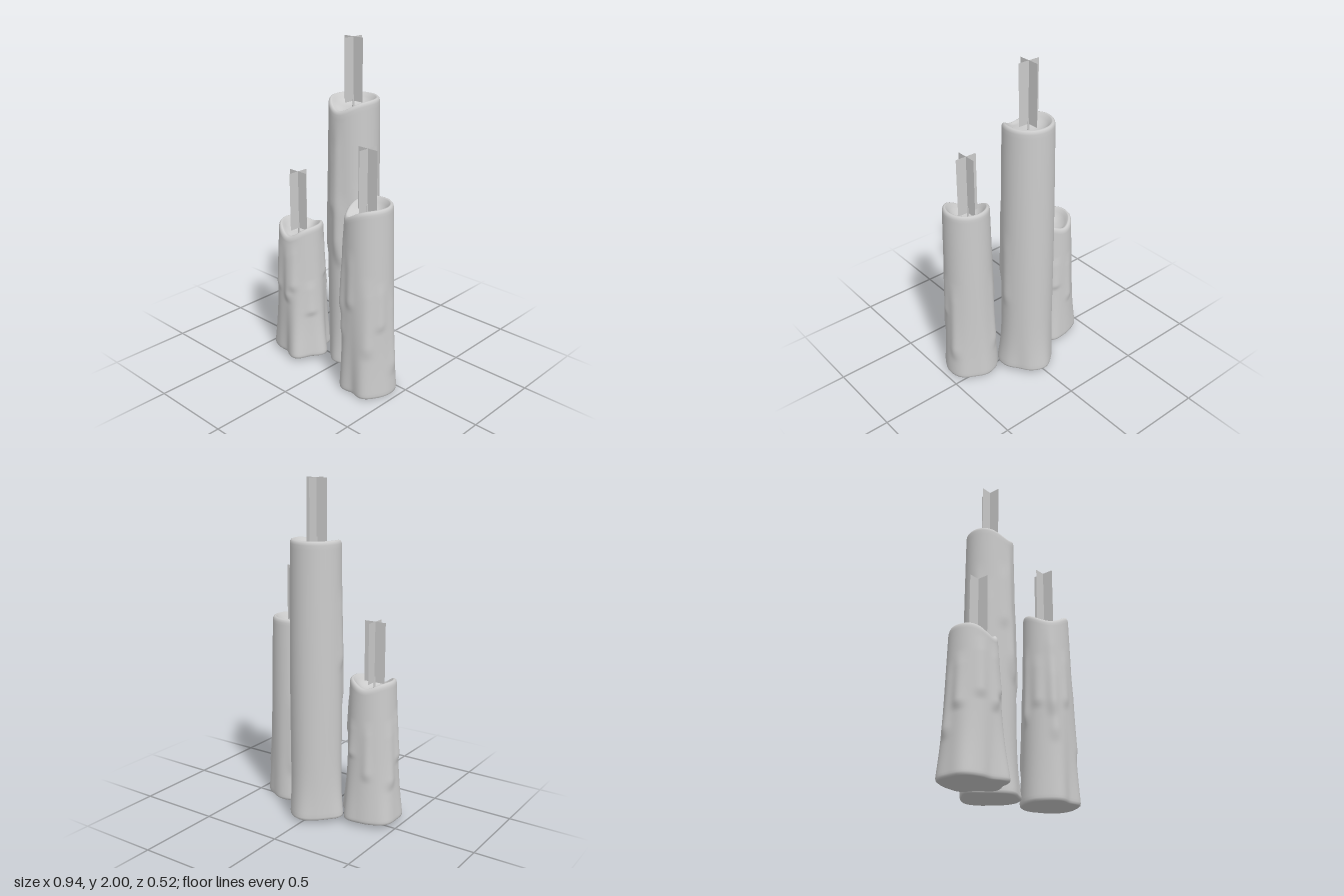
import * as THREE from 'three';

const wax = new THREE.MeshStandardMaterial({ color: 0xcccccc });
const sheet = new THREE.MeshStandardMaterial({ color: 0xcccccc, side: THREE.DoubleSide });
const SEGMENTS = 96;
const RAD = Math.PI / 180;

// Small seeded generator, 0 to 1
function seeded(seed) {
  return () => (seed = (seed * 16807) % 2147483647) / 2147483647;
}

// Bell-shaped weight around an angle, in degrees from +x towards +z
function bell(angle, centre, width) {
  const d = ((angle - centre + 540) % 360 + 360) % 360 - 180;
  return Math.exp(-((d / width) ** 2));
}

// Smooth closed interpolation of the foot radii
function footRadius(foot, angle) {
  const n = foot.length, f = (angle / 360) * n, i = Math.floor(f), t = f - i;
  const [a, b, c, d] = [-1, 0, 1, 2].map(k => foot[(i + k + n) % n]);
  return b + 0.5 * t * (c - a + t * (2 * a - 5 * b + 4 * c - d + t * (3 * (b - c) + d - a)));
}

// One run of wax from the main notch, the rest spread around the wall
function makeDrips(c) {
  const rand = seeded(c.seed), height = c.top - c.base;
  const drips = [{ angle: c.notch.angle, top: c.top - 0.1, bottom: c.base + height * 0.45, thick: 0.016, width: 11 }];
  for (let i = 0; i < c.dripCount; i++) {
    const top = c.base + height * (0.6 + 0.3 * rand());
    drips.push({
      angle: c.dripFrom + c.dripArc * (i + 0.3 + 0.4 * rand()) / c.dripCount,
      top, bottom: top - height * (0.22 + 0.25 * rand()),
      thick: 0.009 + 0.006 * rand(), width: 10 + 3 * rand(),
    });
  }
  return drips;
}

// A drip is thin at its top and swells to a bead before its lower end
function dripAt(drips, angle, y) {
  let sum = 0;
  for (const d of drips) {
    const s = (d.top - y) / (d.top - d.bottom);
    if (s <= 0 || s >= 1.1) continue;
    const swell = Math.min(1, s * 4) * (0.4 + 0.6 * s * s) * THREE.MathUtils.smoothstep(1.1 - s, 0, 0.2);
    sum += d.thick * swell * bell(angle, d.angle, d.width);
  }
  return sum;
}

// Wax body: rings from the underside up the wall, over the rim and into the bowl
function waxGeometry(c) {
  const drips = makeDrips(c);
  const rimY = a => c.top - c.notch.depth * bell(a, c.notch.angle, c.notch.width)
    - c.backDip * bell(a, c.notch.angle + 180, 35);
  const wallRadius = (a, y) => {
    const up = (y - c.base) / (c.top - c.base), foot = footRadius(c.foot, a);
    const flare = Math.exp(-(((y - c.base) / c.flareHeight) ** 1.3));
    const body = c.radius + 0.006 * Math.sin(Math.PI * up) + 0.25 * (foot - c.radius) * (1 - up);
    return THREE.MathUtils.lerp(body, foot, flare) + dripAt(drips, a, y);
  };
  const rings = [];
  // underside with a rounded edge
  for (const [k, lift] of [[0, 0], [0.6, 0], [0.94, 0], [0.985, 0.006]])
    rings.push(a => [wallRadius(a, c.base) * k, c.base + lift]);
  // outer wall
  const steps = 64;
  for (let i = 0; i <= steps; i++)
    rings.push(a => {
      const y = THREE.MathUtils.lerp(c.base + 0.018, rimY(a) - 0.022, i / steps);
      return [wallRadius(a, y), y];
    });
  // rounded rim
  for (const [inset, drop] of [[0.002, 0.01], [0.008, 0.002], [0.015, 0], [0.022, 0.004]])
    rings.push(a => [c.radius - inset, rimY(a) - drop]);
  // bowl
  for (let i = 1; i <= 10; i++) {
    const s = 1 - i / 10;
    rings.push(a => [(c.radius - 0.024) * s, THREE.MathUtils.lerp(c.floor, rimY(a) - 0.008, s ** 3)]);
  }

  const pos = [], index = [];
  for (const ring of rings)
    for (let j = 0; j < SEGMENTS; j++) {
      const a = (j / SEGMENTS) * 360, [r, y] = ring(a);
      pos.push(r * Math.cos(a * RAD), y, r * Math.sin(a * RAD));
    }
  for (let i = 0; i < rings.length - 1; i++)
    for (let j = 0; j < SEGMENTS; j++) {
      const k = (j + 1) % SEGMENTS;
      const p = i * SEGMENTS + j, q = i * SEGMENTS + k, u = p + SEGMENTS, v = q + SEGMENTS;
      if (i > 0) index.push(p, u, q);
      if (i < rings.length - 2) index.push(q, u, v);
    }
  const geometry = new THREE.BufferGeometry();
  geometry.setAttribute('position', new THREE.Float32BufferAttribute(pos, 3));
  geometry.setIndex(index);
  geometry.computeVertexNormals();
  return geometry;
}

function addMesh(group, name, geometry, material, x, y, z) {
  const mesh = new THREE.Mesh(geometry, material);
  mesh.name = name;
  mesh.position.set(x, y, z);
  group.add(mesh);
  return mesh;
}

function createCandle(c) {
  const group = new THREE.Group();
  group.name = c.name;
  addMesh(group, 'waxBody', waxGeometry(c), wax, c.x, 0, c.z);

  // wick
  const bottom = c.floor - 0.01, wickTop = c.floor + 0.07;
  const wick = new THREE.CylinderGeometry(0.005, 0.007, wickTop - bottom, 8);
  addMesh(group, 'wick', wick, wax, c.wickX, (wickTop + bottom) / 2, c.wickZ);

  // flame: two crossed upright cards
  const cardHeight = 0.36;
  for (const turn of [0, Math.PI / 2]) {
    const card = new THREE.PlaneGeometry(0.137, cardHeight);
    addMesh(group, 'flameCard', card, sheet, c.wickX, c.flameTop - cardHeight / 2, c.wickZ).rotation.y = turn;
  }
  return group;
}

export function createModel() {
  const model = new THREE.Group();
  model.name = 'candles';
  // foot: radii of the melted base, evenly spaced from +x towards +z
  model.add(createCandle({
    name: 'tallCandle', x: 0, z: -0.085, base: 0.02, top: 1.665, floor: 1.605, radius: 0.145,
    foot: [0.18, 0.19, 0.17, 0.175, 0.15, 0.15, 0.185, 0.16, 0.16, 0.178, 0.168, 0.155],
    flareHeight: 0.16, wickX: -0.003, wickZ: -0.082, flameTop: 2,
    notch: { angle: 88, depth: 0.06, width: 42 }, backDip: 0,
    seed: 11, dripCount: 6, dripFrom: -10, dripArc: 200,
  }));
  model.add(createCandle({
    name: 'middleCandle', x: 0.295, z: 0.11, base: 0, top: 1.155, floor: 1.07, radius: 0.135,
    foot: [0.172, 0.165, 0.168, 0.137, 0.163, 0.162, 0.165, 0.165, 0.17, 0.17, 0.16, 0.175],
    flareHeight: 0.28, wickX: 0.282, wickZ: 0.11, flameTop: 1.46,
    notch: { angle: 132, depth: 0.075, width: 52 }, backDip: 0,
    seed: 37, dripCount: 8, dripFrom: -40, dripArc: 300,
  }));
  model.add(createCandle({
    name: 'shortCandle', x: -0.3, z: 0.06, base: 0.02, top: 0.872, floor: 0.8, radius: 0.134,
    foot: [0.2, 0.178, 0.203, 0.145, 0.16, 0.185, 0.176, 0.187, 0.168, 0.165, 0.182, 0.15],
    flareHeight: 0.24, wickX: -0.291, wickZ: 0.087, flameTop: 1.195,
    notch: { angle: 82, depth: 0.06, width: 38 }, backDip: 0.035,
    seed: 73, dripCount: 8, dripFrom: 0, dripArc: 360,
  }));
  return model;
}
